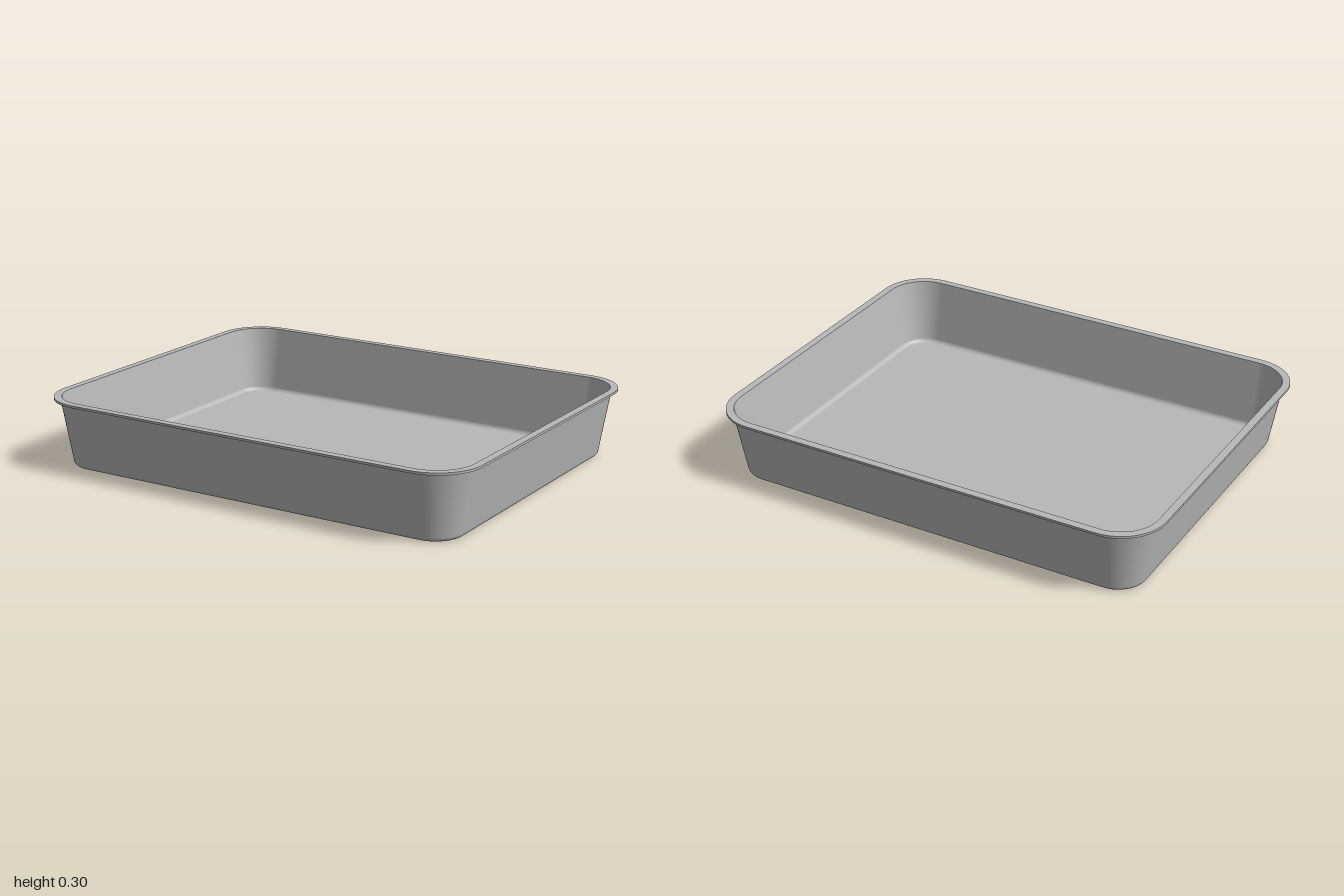
import * as THREE from 'three';

const CORE_X = 0.8, CORE_Z = 0.585; // centres of the rounded corners
const ARC = 14;                     // segments per corner
const SLOPE = Math.atan(0.1704);    // outward lean of the walls

// Sweeps a profile round a rounded rectangle.
// Profile point: [offset from core, y, normal out, normal up, core scale]
function sweep(profile) {
  const pos = [], nor = [], idx = [];
  const n = 4 * (ARC + 1);
  for (const [r, y, nr, ny, k = 1] of profile) {
    for (let q = 0; q < 4; q++) {
      const sx = q === 0 || q === 3 ? 1 : -1, sz = q < 2 ? 1 : -1;
      for (let i = 0; i <= ARC; i++) {
        const a = (q + i / ARC) * Math.PI / 2, c = Math.cos(a), s = Math.sin(a);
        pos.push(k * sx * CORE_X + r * c, y, k * sz * CORE_Z + r * s);
        nor.push(nr * c, ny, nr * s);
      }
    }
  }
  for (let p = 0; p < profile.length - 1; p++) {
    for (let j = 0; j < n; j++) {
      const a = p * n + j, b = a + n, c = p * n + (j + 1) % n, d = c + n;
      if (profile[p][4] !== 0) idx.push(a, b, c);
      if (profile[p + 1][4] !== 0) idx.push(b, d, c);
    }
  }
  const g = new THREE.BufferGeometry();
  g.setAttribute('position', new THREE.Float32BufferAttribute(pos, 3));
  g.setAttribute('normal', new THREE.Float32BufferAttribute(nor, 3));
  g.setIndex(idx);
  return g;
}

// Rounded bend from floor to wall; side is 1 outside, -1 inside
function fillet(r, y, radius, side) {
  const pts = [];
  for (let i = 0; i <= 6; i++) {
    const a = -Math.PI / 2 + (Math.PI / 2 - SLOPE) * i / 6;
    const c = Math.cos(a), s = Math.sin(a);
    pts.push([r + radius * c, y + radius * s, side * c, side * s]);
  }
  return pts;
}

export function createModel() {
  const group = new THREE.Group();
  const metal = new THREE.MeshStandardMaterial({ color: 0xb8b8b8 });
  metal.name = 'greyMetal';
  const add = (name, profile) => {
    const mesh = new THREE.Mesh(sweep(profile), metal);
    mesh.name = name;
    group.add(mesh);
  };
  const nr = Math.cos(SLOPE), ny = -Math.sin(SLOPE);

  // Underside and outer walls
  add('outerShell', [
    [0, 0, 0, -1, 0],
    ...fillet(0.105, 0.022, 0.022, 1),
    [0.173, 0.29, nr, ny],
  ]);

  // Flat flange round the top
  add('rimUnderside', [[0.173, 0.29, 0, -1], [0.2, 0.29, 0, -1]]);
  add('rimEdge', [[0.2, 0.29, 1, 0], [0.2, 0.3, 1, 0]]);
  add('rimTop', [[0.2, 0.3, 0, 1], [0.167, 0.3, 0, 1]]);

  // Inner walls and tray floor
  add('innerShell', [
    [0.167, 0.3, -nr, -ny],
    ...fillet(0.099, 0.03, 0.022, -1).reverse(),
    [0, 0.008, 0, 1, 0],
  ]);

  return group;
}
